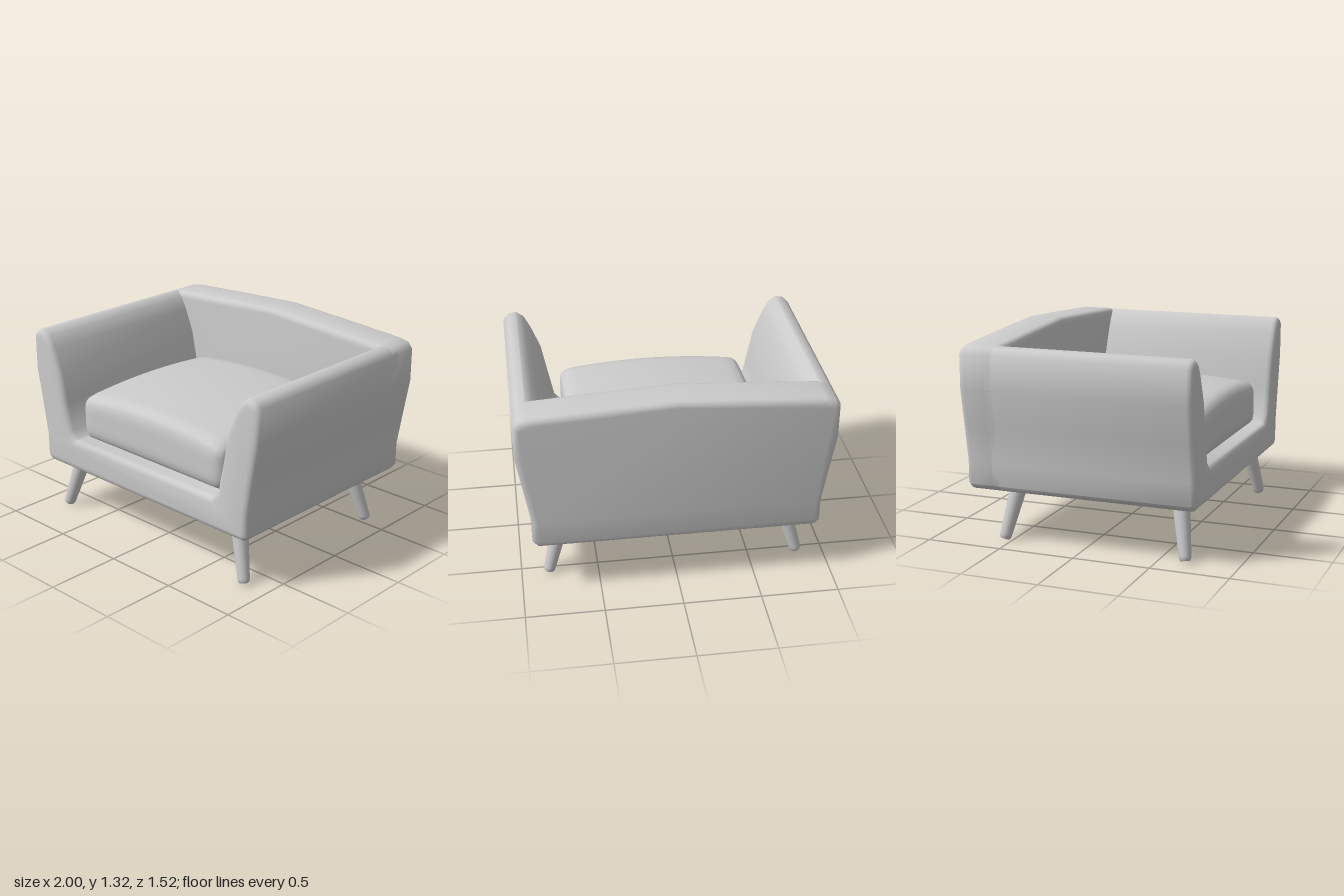
import * as THREE from 'three';
import { toCreasedNormals, mergeVertices } from 'three/addons/utils/BufferGeometryUtils.js';

const material = new THREE.MeshStandardMaterial({ color: 0xcccccc });

// Right-hand half of the upholstered outline, from the underside up to the arm top
const outer = [[0.885, 0.345], [0.92, 0.38], [0.92, 0.53], [0.96, 0.77], [1, 1], [1, 1.22], [0.965, 1.26]];
// Inner side of the arm, from its top down to the seat deck
const inner = [[0.91, 1.27], [0.86, 1.235], [0.82, 1.16], [0.755, 1], [0.715, 0.8], [0.675, 0.61], [0.625, 0.56]];

function makeMesh(name, geometry) {
  const mesh = new THREE.Mesh(geometry, material);
  mesh.name = name;
  return mesh;
}

// Mirrors a half outline and extrudes it between two depths with softened edges
function paddedSlab(half, zBack, zFront, bevel) {
  const mirrored = half.filter(([x]) => x > 0).reverse().map(([x, y]) => [-x, y]);
  const points = [...half, ...mirrored].map(([x, y]) => new THREE.Vector2(x, y));
  const geometry = new THREE.ExtrudeGeometry(new THREE.Shape(points), {
    depth: zFront - zBack - 2 * bevel,
    bevelThickness: bevel, bevelSize: bevel, bevelOffset: -bevel, bevelSegments: 3,
  });
  geometry.translate(0, 0, zBack + bevel);
  return toCreasedNormals(geometry, 0.8);
}

// Soft box with rounded edges and a crowned top
function cushionGeometry(w, h, d, radius) {
  const box = new THREE.BoxGeometry(w, h, d, 24, 8, 24);
  box.deleteAttribute('uv');
  box.deleteAttribute('normal');
  const geometry = mergeVertices(box);
  const pos = geometry.attributes.position;
  const limit = new THREE.Vector3(w / 2 - radius, h / 2 - radius, d / 2 - radius);
  const p = new THREE.Vector3(), core = new THREE.Vector3();
  for (let i = 0; i < pos.count; i++) {
    p.fromBufferAttribute(pos, i);
    core.copy(p).clamp(limit.clone().negate(), limit);
    p.sub(core).setLength(radius).add(core);
    const u = 2 * p.x / w, v = 2 * p.z / d;
    const rise = THREE.MathUtils.clamp(p.y / h + 0.5, 0, 1);
    p.y += rise * (0.05 * (1 - u * u) + 0.035 * (1 - v * v));
    pos.setXYZ(i, p.x, p.y, p.z);
  }
  geometry.computeVertexNormals();
  return geometry;
}

// Tapered round leg with a slightly rounded foot
function makeLeg(name, foot, top) {
  const axis = top.clone().sub(foot);
  const length = axis.length();
  const profile = [[0, 0], [0.028, 0], [0.036, 0.01], [0.039, 0.03], [0.057, length], [0, length]]
    .map(([r, y]) => new THREE.Vector2(r, y));
  const leg = makeMesh(name, toCreasedNormals(new THREE.LatheGeometry(profile, 20), 0.9));
  leg.position.copy(foot);
  leg.quaternion.setFromUnitVectors(new THREE.Vector3(0, 1, 0), axis.normalize());
  return leg;
}

export function createModel() {
  const group = new THREE.Group();
  group.name = 'armchair';

  // Seat base and both arms in one U-shaped section
  group.add(makeMesh('baseAndArms', paddedSlab([...outer, ...inner], -0.62, 0.76, 0.038)));

  // Backrest with a gently peaked top
  group.add(makeMesh('backrest', paddedSlab([...outer, [0.9, 1.275], [0.45, 1.303], [0, 1.327]], -0.76, -0.495, 0.04)));

  // Loose seat cushion
  const cushion = makeMesh('seatCushion', cushionGeometry(1.275, 0.295, 1.17, 0.07));
  cushion.position.set(0, 0.7, 0.095);
  group.add(cushion);

  // Four splayed legs
  for (const side of [1, -1]) {
    const label = side > 0 ? 'Left' : 'Right';
    group.add(makeLeg(`front${label}Leg`,
      new THREE.Vector3(side * 0.823, 0.011, 0.667), new THREE.Vector3(side * 0.715, 0.39, 0.597)));
    group.add(makeLeg(`back${label}Leg`,
      new THREE.Vector3(side * 0.823, 0.011, -0.55), new THREE.Vector3(side * 0.715, 0.39, -0.48)));
  }
  return group;
}
